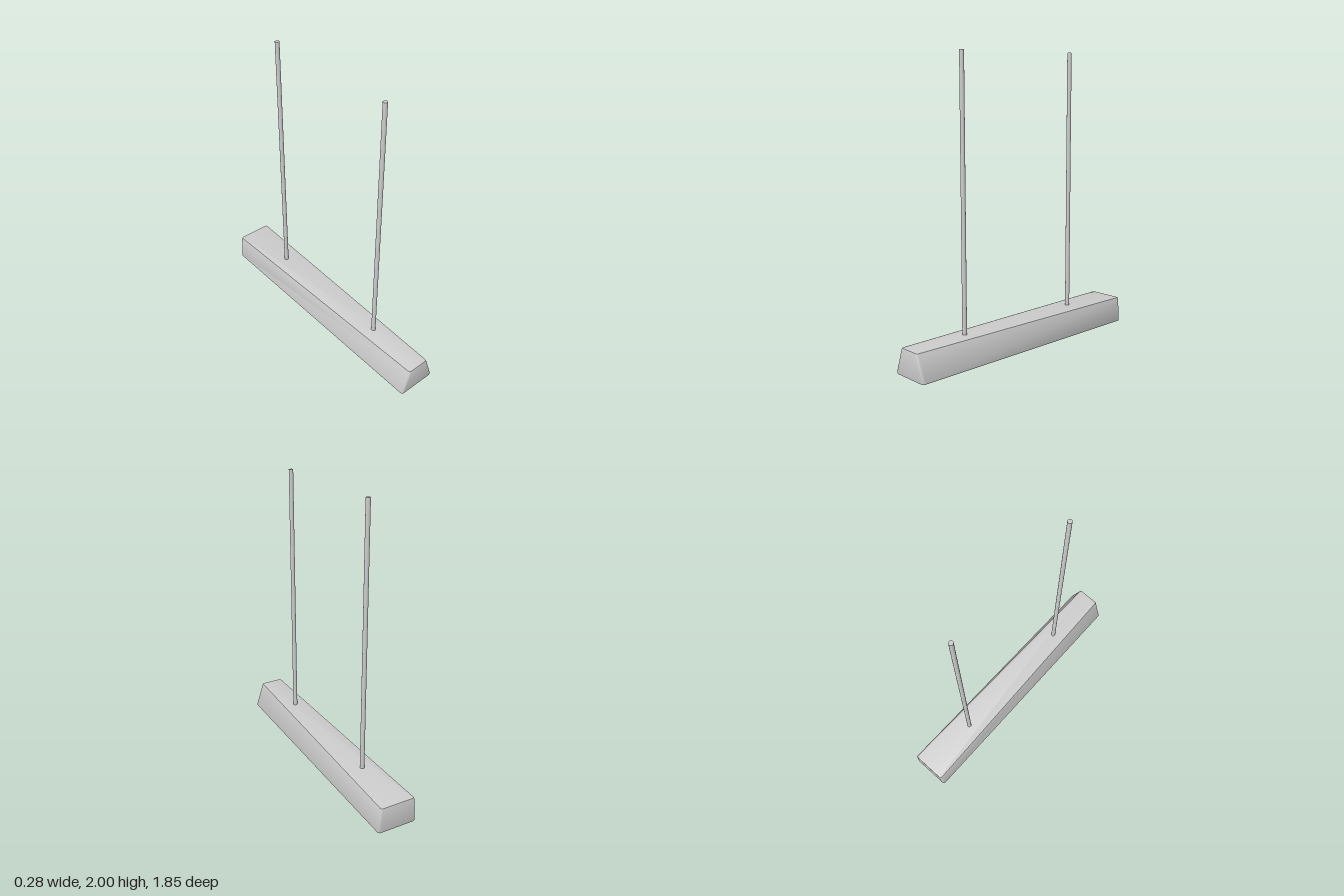
import * as THREE from 'three';
import { toCreasedNormals } from 'three/addons/utils/BufferGeometryUtils.js';

const material = new THREE.MeshStandardMaterial({ color: 0xcccccc });

function add(parent, geometry, name, x = 0, y = 0, z = 0) {
  const mesh = new THREE.Mesh(geometry, material);
  mesh.name = name;
  mesh.position.set(x, y, z);
  parent.add(mesh);
  return mesh;
}

// Rounded four-sided loop, counterclockwise from above; its width differs front to back
function loop({ y, front, back, z0, z1, r }) {
  const points = [];
  const steps = 4;
  const corners = [[1, 1], [1, -1], [-1, -1], [-1, 1]];
  corners.forEach(([sx, sz], k) => {
    const cx = sx * ((sz > 0 ? front : back) - r);
    const cz = sz > 0 ? z1 - r : z0 + r;
    for (let i = 0; i <= steps; i++) {
      const a = (k - 1 + i / steps) * Math.PI / 2;
      points.push(new THREE.Vector3(cx + r * Math.cos(a), y, cz - r * Math.sin(a)));
    }
  });
  return points;
}

// Skin between successive loops, closed at both ends
function loft(loops) {
  const n = loops[0].length;
  const points = loops.flat();
  const index = [];
  for (let i = 0; i < loops.length - 1; i++) {
    for (let j = 0; j < n; j++) {
      const a = i * n + j, b = i * n + (j + 1) % n;
      index.push(a, b, b + n, a, b + n, a + n);
    }
  }
  const last = (loops.length - 1) * n;
  for (let j = 1; j < n - 1; j++) {
    index.push(0, j + 1, j);
    index.push(last, last + j, last + j + 1);
  }
  const geometry = new THREE.BufferGeometry().setFromPoints(points);
  geometry.setIndex(index);
  return toCreasedNormals(geometry, 0.6);
}

export function createModel() {
  const model = new THREE.Group();
  model.name = 'pendantLight';

  // Tapered housing, from the recess ceiling out around the rim and up to the top
  const section = (y, front, back, z0, z1, r) => loop({ y, front, back, z0, z1, r });
  const housing = loft([
    section(0.07, 0.075, 0.075, -0.85, 0.88, 0.006),
    section(0.016, 0.085, 0.085, -0.86, 0.89, 0.006),
    section(0.016, 0.127, 0.127, -0.908, 0.913, 0.01),
    section(0.02, 0.135, 0.135, -0.917, 0.922, 0.015),
    section(0.03, 0.137, 0.138, -0.92, 0.925, 0.018),
    section(0.188, 0.083, 0.125, -0.92, 0.925, 0.015),
    section(0.197, 0.079, 0.121, -0.917, 0.922, 0.013),
    section(0.2, 0.07, 0.112, -0.908, 0.913, 0.01),
  ]);
  add(model, housing, 'housing');

  // Pair of lamp tubes with end sockets in the recess
  for (const x of [-0.035, 0.03]) {
    const tube = add(model, new THREE.CylinderGeometry(0.027, 0.027, 1.71, 24), 'lampTube', x, 0.027, 0.015);
    tube.rotation.x = Math.PI / 2;
    for (const z of [-0.845, 0.875]) {
      add(model, new THREE.BoxGeometry(0.04, 0.05, 0.02), 'lampSocket', x, 0.047, z);
    }
  }

  // Hanging rods
  for (const [x, z, top] of [[0, 0.49, 1.985], [-0.005, -0.483, 2]]) {
    const height = top - 0.19;
    add(model, new THREE.CylinderGeometry(0.015, 0.015, height, 20), 'hangingRod', x, 0.19 + height / 2, z);
  }
  return model;
}
